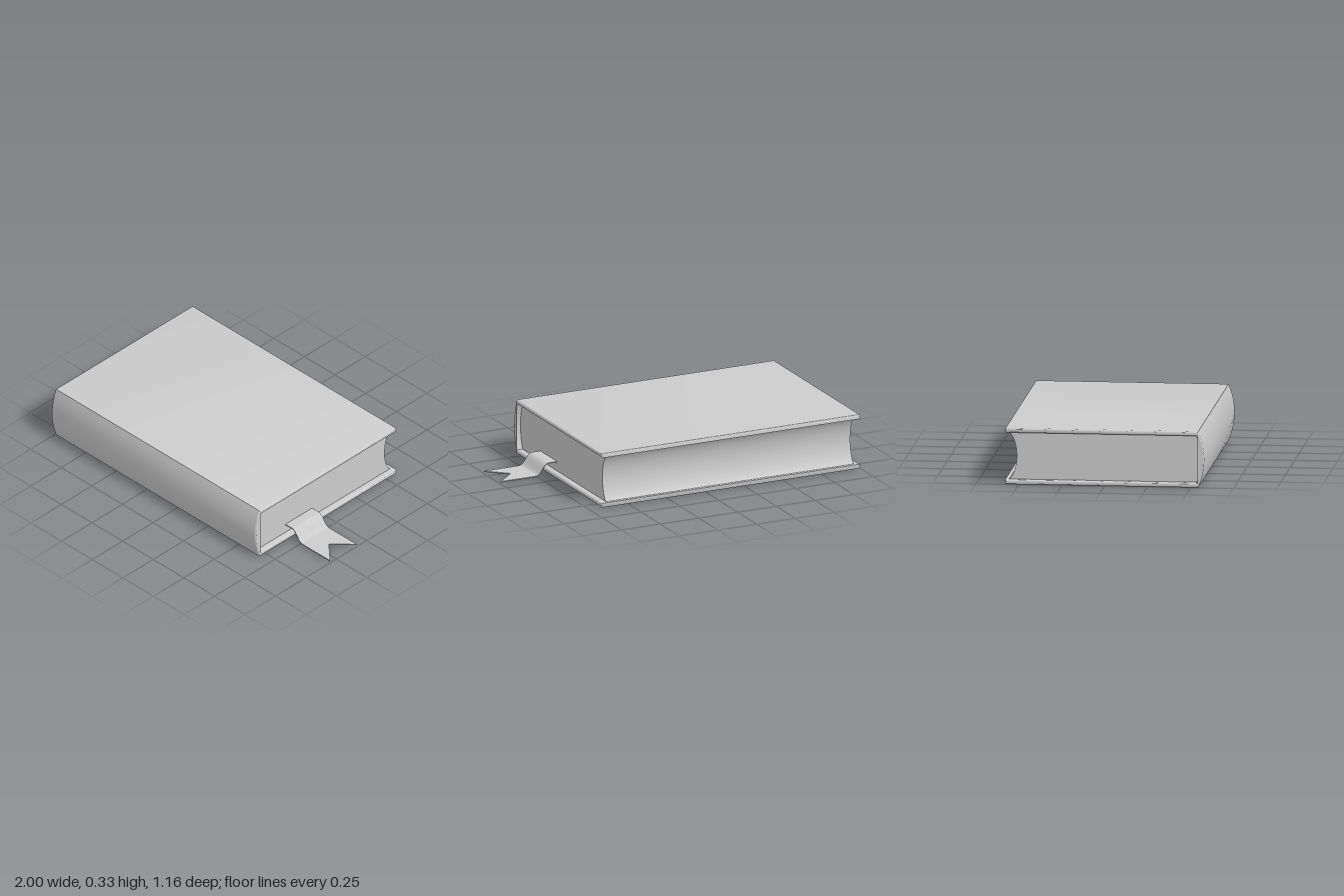
import * as THREE from 'three';
import { toCreasedNormals } from 'three/addons/utils/BufferGeometryUtils.js';

const grey = new THREE.MeshStandardMaterial({ color: 0xcccccc });

// Extrudes a profile (-z, y) along x from x0 to x1, with softened ends
function extrudeAlongX(name, shape, x0, x1, bevel) {
  const geo = new THREE.ExtrudeGeometry(shape, {
    depth: x1 - x0 - 2 * bevel, curveSegments: 24,
    bevelEnabled: bevel > 0, bevelThickness: bevel, bevelSize: bevel * 0.8,
    bevelOffset: -bevel * 0.8, bevelSegments: 3,
  });
  geo.translate(0, 0, x0 + bevel).rotateY(Math.PI / 2);
  const mesh = new THREE.Mesh(toCreasedNormals(geo, 0.7), grey);
  mesh.name = name;
  return mesh;
}

// Two boards and a bulging spine in one profile
function coverShape() {
  const s = new THREE.Shape();
  s.moveTo(0.575, 0);
  s.quadraticCurveTo(0.58, 0, 0.58, 0.006);
  s.lineTo(0.58, 0.027);
  s.lineTo(-0.535, 0.027);
  s.quadraticCurveTo(-0.589, 0.165, -0.535, 0.303);
  s.lineTo(0.58, 0.303);
  s.lineTo(0.58, 0.324);
  s.quadraticCurveTo(0.58, 0.33, 0.575, 0.33);
  s.lineTo(-0.545, 0.33);
  s.quadraticCurveTo(-0.615, 0.165, -0.545, 0);
  s.closePath();
  return s;
}

// Page block: rounded at the spine, hollowed at the fore edge
function pageShape() {
  const s = new THREE.Shape();
  s.moveTo(-0.535, 0.025);
  s.lineTo(0.565, 0.025);
  s.bezierCurveTo(0.545, 0.03, 0.515, 0.09, 0.515, 0.165);
  s.bezierCurveTo(0.515, 0.24, 0.545, 0.3, 0.565, 0.305);
  s.lineTo(-0.535, 0.305);
  s.quadraticCurveTo(-0.587, 0.165, -0.535, 0.025);
  return s;
}

// Ribbon: a thin strip that steps down to the ground and ends in a swallowtail
function ribbon() {
  const start = 0.55, notchStart = 0.8, notchTip = 0.88;
  const height = x => 0.082 - 0.07 * THREE.MathUtils.smootherstep(x, 0.685, 0.775);
  const geo = new THREE.BoxGeometry(1, 0.006, 0.22, 72, 1, 2);
  const p = geo.attributes.position;
  for (let i = 0; i < p.count; i++) {
    let x = start + (p.getX(i) + 0.5) * (1 - start);
    const end = THREE.MathUtils.lerp(notchTip, 1, Math.abs(p.getZ(i)) / 0.11);
    if (x > notchStart) x = notchStart + (x - notchStart) * (end - notchStart) / (1 - notchStart);
    const slope = (height(x + 0.001) - height(x - 0.001)) / 0.002;
    const off = p.getY(i) / Math.hypot(1, slope);
    p.setXYZ(i, x - slope * off, height(x) + off, p.getZ(i) + 0.19);
  }
  const mesh = new THREE.Mesh(toCreasedNormals(geo, 0.7), grey);
  mesh.name = 'bookmarkRibbon';
  return mesh;
}

export function createModel() {
  const book = new THREE.Group();
  book.name = 'book';
  book.add(
    extrudeAlongX('cover', coverShape(), -1, 0.67, 0.012),
    extrudeAlongX('pages', pageShape(), -0.965, 0.635, 0),
    ribbon(),
  );
  return book;
}
